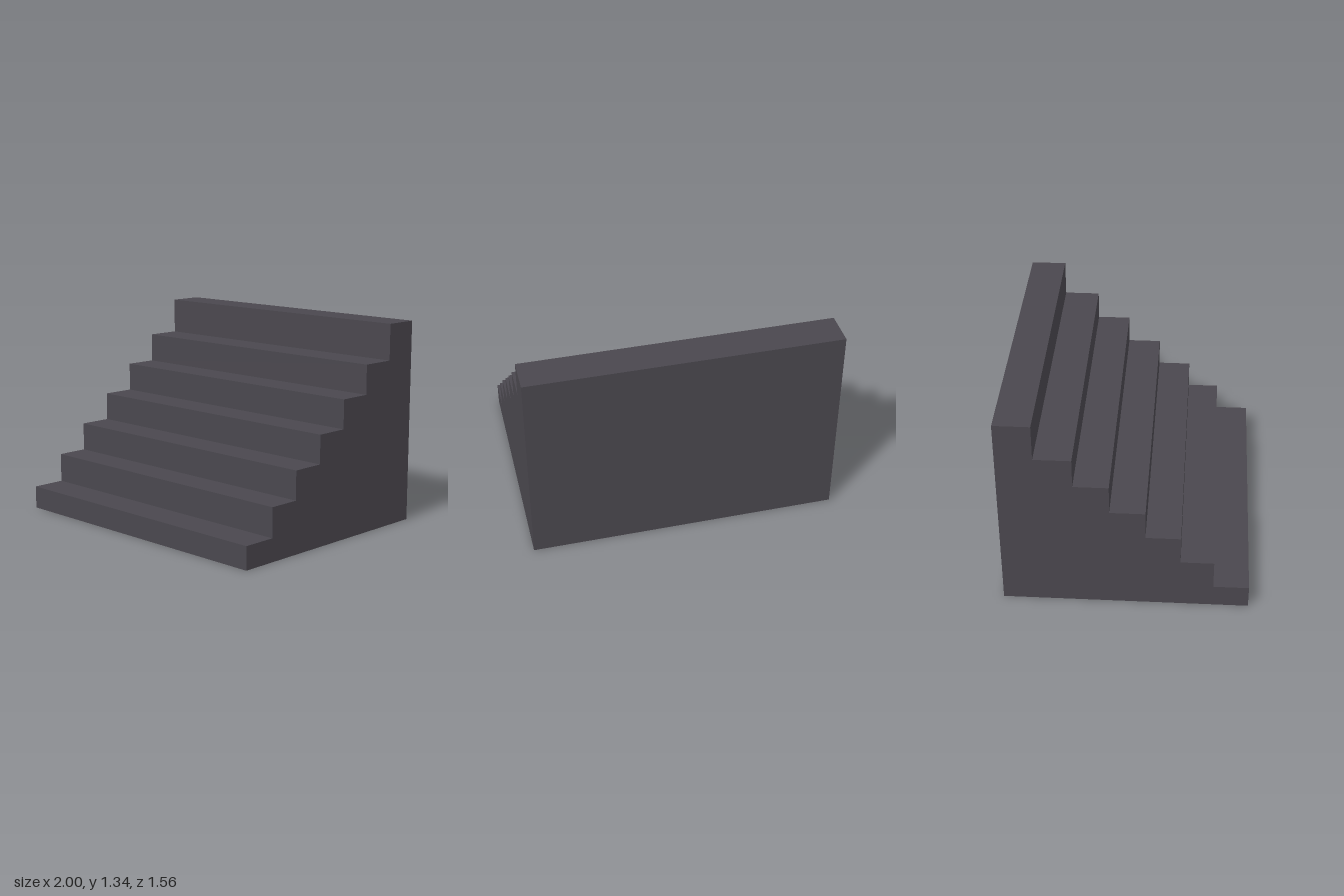
import * as THREE from 'three';

// Step edges from front to back, and the height of each tread
const edges = [0.78, 0.555, 0.345, 0.125, -0.097, -0.317, -0.55, -0.78];
const heights = [0.15, 0.342, 0.53, 0.717, 0.907, 1.10, 1.337];
const WIDTH = 2;

export function createModel() {
  const group = new THREE.Group();
  const stone = new THREE.MeshStandardMaterial({ color: 0x4a474e, side: THREE.DoubleSide });
  stone.name = 'dark grey stone';

  const add = (name, geometry, x, y, z) => {
    const mesh = new THREE.Mesh(geometry, stone);
    mesh.name = name;
    mesh.position.set(x, y, z);
    group.add(mesh);
  };

  // Risers and treads: a hollow shell, open underneath
  heights.forEach((top, i) => {
    const bottom = i ? heights[i - 1] : 0;
    const depth = edges[i] - edges[i + 1];
    add(`riser${i + 1}`, new THREE.PlaneGeometry(WIDTH, top - bottom), 0, (top + bottom) / 2, edges[i]);
    add(`tread${i + 1}`, new THREE.PlaneGeometry(WIDTH, depth).rotateX(-Math.PI / 2),
      0, top, (edges[i] + edges[i + 1]) / 2);
  });

  // Back wall
  const full = heights[heights.length - 1];
  add('backWall', new THREE.PlaneGeometry(WIDTH, full).rotateY(Math.PI), 0, full / 2, edges[edges.length - 1]);

  // Stepped side walls, mirrored so that both face outwards
  for (const side of [1, -1]) {
    const profile = new THREE.Shape();
    profile.moveTo(-side * edges[0], 0);
    heights.forEach((y, i) => {
      profile.lineTo(-side * edges[i], y);
      profile.lineTo(-side * edges[i + 1], y);
    });
    profile.lineTo(-side * edges[edges.length - 1], 0);
    profile.closePath();
    add(side > 0 ? 'leftWall' : 'rightWall',
      new THREE.ShapeGeometry(profile).rotateY(side * Math.PI / 2), side * WIDTH / 2, 0, 0);
  }
  return group;
}
